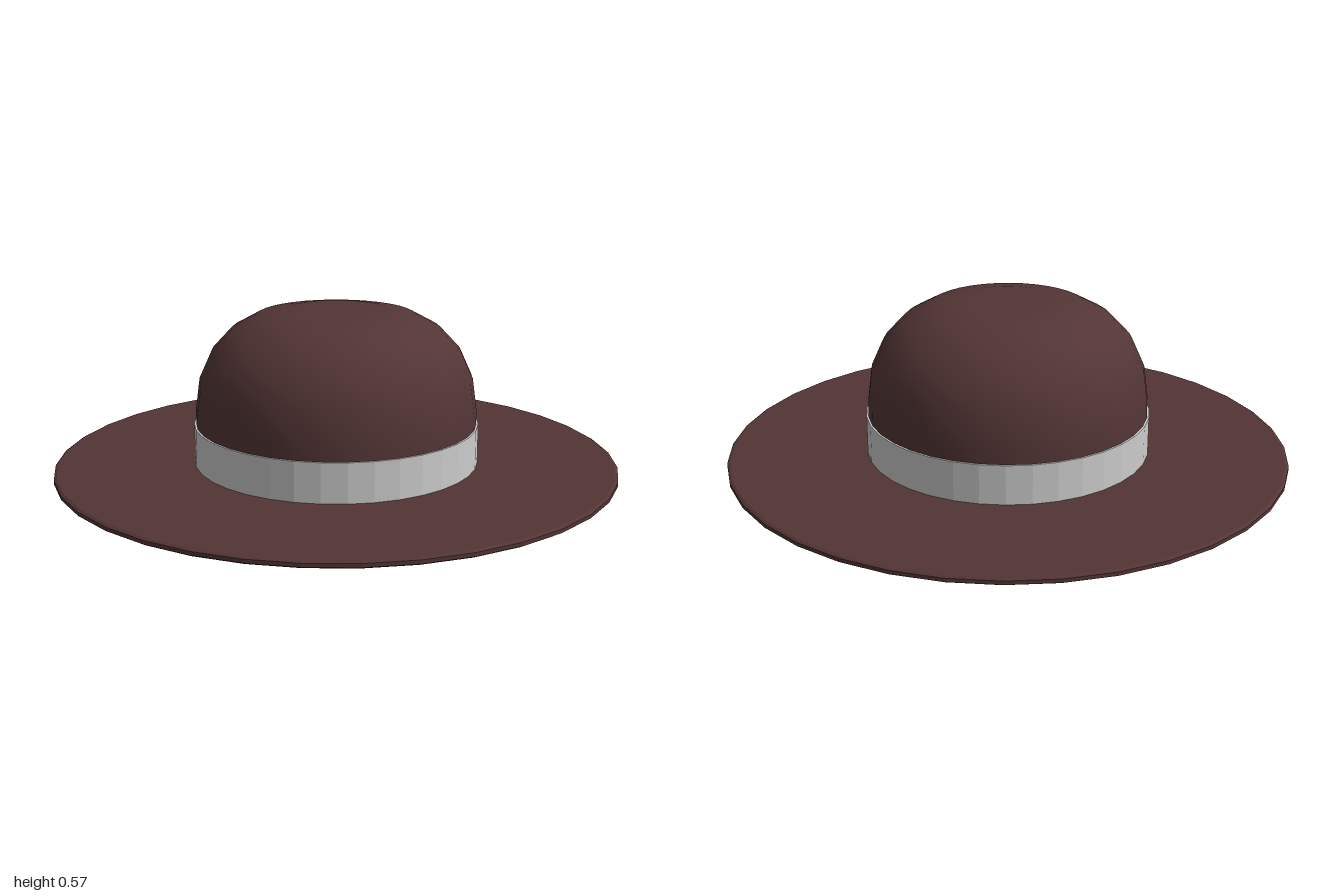
import * as THREE from 'three';

const SIDES = 36;
const FELT = 0x533535;

// Revolve a bottom-to-top [radius, height] profile about the y axis.
function lathe(name, profile, options) {
  const points = profile.map(([r, y]) => new THREE.Vector2(r, y));
  const mesh = new THREE.Mesh(
    new THREE.LatheGeometry(points, SIDES),
    new THREE.MeshStandardMaterial(options)
  );
  mesh.name = name;
  return mesh;
}

export function createModel() {
  const hat = new THREE.Group();
  hat.name = 'hat';

  // Thin flat ring, open in the middle, with a slightly bevelled rim
  hat.add(lathe('brim', [
    [0.495, 0], [0.99, 0], [1, 0.006], [1, 0.019], [0.99, 0.025], [0.495, 0.025], [0.495, 0],
  ], { color: FELT, flatShading: true }));

  // Hollow rounded crown with a flattened top
  hat.add(lathe('crown', [
    [0.495, 0.012], [0.5, 0.1], [0.498, 0.22], [0.483, 0.33], [0.44, 0.425],
    [0.37, 0.5], [0.28, 0.55], [0.18, 0.567], [0.09, 0.567], [0, 0.567],
  ], { color: FELT, side: THREE.DoubleSide }));

  // Faceted ribbon around the base of the crown
  hat.add(lathe('band', [
    [0.506, 0.022], [0.506, 0.165], [0.495, 0.165],
  ], { color: 0xcccccc, flatShading: true, side: THREE.DoubleSide }));

  return hat;
}
